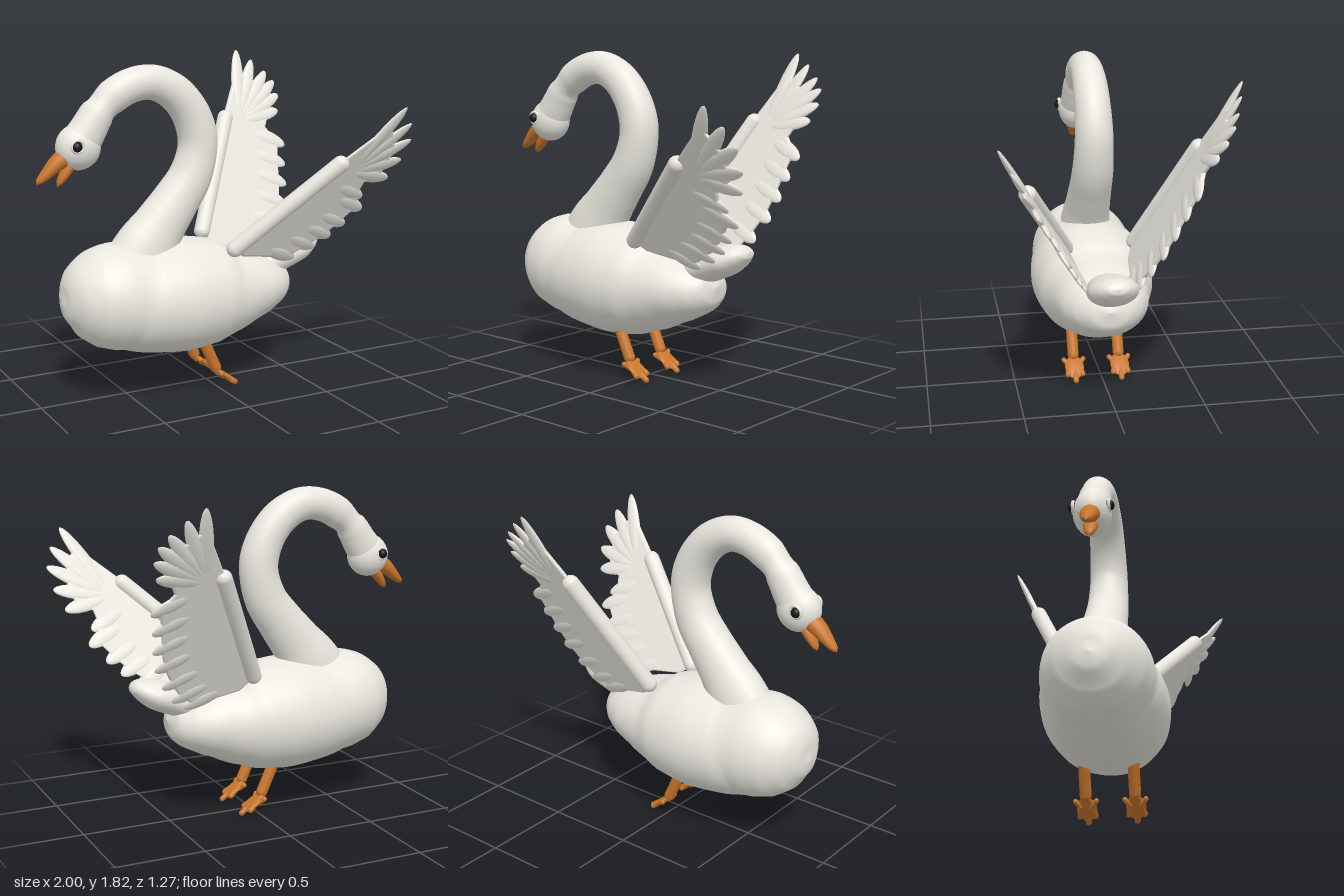
import * as THREE from 'three';

const white = new THREE.MeshStandardMaterial({ color: 0xe9e7df });
const orange = new THREE.MeshStandardMaterial({ color: 0xc8752b });
const black = new THREE.MeshStandardMaterial({ color: 0x15171a });
const MID = 0.025; // the bird's centre line in z

const V = (x, y, z = 0) => new THREE.Vector3(x, y, z);

function mesh(name, geometry, material) {
  const m = new THREE.Mesh(geometry, material);
  m.name = name;
  return m;
}

// Smooth skin over elliptical sections [x, y, radius in plane, radius in z]
function loft(name, sections, material, steps = 60, sides = 32) {
  const path = new THREE.CatmullRomCurve3(sections.map(s => V(s[0], s[1])));
  const size = new THREE.CatmullRomCurve3(sections.map(s => V(s[2], s[3])));
  const pos = [], idx = [];
  for (let i = 0; i <= steps; i++) {
    const c = path.getPoint(i / steps), r = size.getPoint(i / steps), t = path.getTangent(i / steps);
    for (let j = 0; j < sides; j++) {
      const a = j / sides * Math.PI * 2, n = Math.cos(a) * r.x;
      pos.push(c.x - t.y * n, c.y + t.x * n, MID + Math.sin(a) * r.y);
      if (i === steps) continue;
      const k = (j + 1) % sides, p = i * sides, q = p + sides;
      idx.push(p + j, p + k, q + j, p + k, q + k, q + j);
    }
  }
  const g = new THREE.BufferGeometry();
  g.setAttribute('position', new THREE.Float32BufferAttribute(pos, 3));
  g.setIndex(idx);
  g.computeVertexNormals();
  return mesh(name, g, material);
}

function ball(name, p, s, material) {
  const m = mesh(name, new THREE.SphereGeometry(1, 28, 20), material);
  m.position.copy(p);
  m.scale.set(...s);
  return m;
}

// Round-ended rod between two points
function rod(name, a, b, r, material) {
  const d = b.clone().sub(a);
  const m = mesh(name, new THREE.CapsuleGeometry(r, d.length(), 8, 20), material);
  m.position.copy(a).addScaledVector(d, 0.5);
  m.quaternion.setFromUnitVectors(V(0, 1), d.normalize());
  return m;
}

// Wing drawn flat in x and y, then leaned outward: z = z0 + slope * y
function wing(name, w) {
  const group = new THREE.Group();
  group.name = name;
  const lean = new THREE.Matrix4().set(1, 0, 0, 0, 0, 1, 0, 0, 0, w.slope, 1, w.z0, 0, 0, 0, 1);
  const onWing = ([x, y]) => V(x, y, w.z0 + w.slope * y);

  const sheet = (part, pts, curved) => {
    const shape = new THREE.Shape(pts.map(p => new THREE.Vector2(...p)));
    if (curved) shape.closePath();
    const g = new THREE.ExtrudeGeometry(shape, {
      depth: 0.012, bevelSize: 0.012, bevelThickness: 0.008, bevelSegments: 2
    });
    g.translate(0, 0, -0.006);
    group.add(mesh(part, g.applyMatrix4(lean), white));
  };
  const feather = (part, [ax, ay], [bx, by], width) => {
    const g = new THREE.SphereGeometry(1, 20, 12);
    g.scale(Math.hypot(bx - ax, by - ay) / 2, width, 0.02);
    g.rotateZ(Math.atan2(by - ay, bx - ax));
    g.translate((ax + bx) / 2, (ay + by) / 2, 0);
    group.add(mesh(part, g.applyMatrix4(lean), white));
  };

  // Panel: arm line, then the trailing edge just inside the feather tips
  const inset = w.trail.map(([x, y]) => [x - 0.06, y + 0.03]);
  sheet('wingPanel', [w.shoulder, w.root, ...inset, w.wristBack, w.wrist]);
  w.trail.forEach(([x, y]) => feather('trailingFeather', [x - 0.22, y + 0.1], [x, y], 0.042));

  // Hand: a web between the wrist and the fanned feathers
  const palm = w.fan.map(([x, y]) => [
    THREE.MathUtils.lerp(w.hand[0], x, 0.68), THREE.MathUtils.lerp(w.hand[1], y, 0.68)]);
  sheet('handWeb', [w.wrist, w.wristBack, ...palm]);
  w.fan.forEach(p => feather('handFeather', w.hand, p, 0.04));

  group.add(rod('wingArm', onWing(w.shoulder), onWing(w.wrist), 0.046, white));
  return group;
}

function leg(name, z) {
  const group = new THREE.Group();
  group.name = name;
  group.add(rod('shin', V(-0.1, 0.3, z), V(-0.02, 0.125, z), 0.032, orange));
  // Webbed foot sloping down to the toe tips
  const web = ball('web', V(0.035, 0.07, z), [0.075, 0.016, 0.055], orange);
  web.rotation.z = -0.65;
  group.add(web);
  for (const s of [-1, 0, 1]) {
    const reach = s ? 0.07 : 0.105;
    group.add(rod('toe', V(-0.02, 0.11, z + s * 0.012), V(reach, s ? 0.042 : 0.018, z + s * 0.042), 0.016, orange));
    if (s) group.add(rod('sideToe', V(0.01, 0.075, z + s * 0.03), V(-0.01, 0.1, z + s * 0.056), 0.014, orange));
  }
  return group;
}

export function createModel() {
  const bird = new THREE.Group();
  bird.name = 'waterBird';

  // Body with a full chest, belly and narrowing rump
  bird.add(loft('body', [
    [-0.87, 0.57, 0, 0], [-0.855, 0.57, 0.09, 0.09], [-0.8, 0.575, 0.19, 0.19],
    [-0.7, 0.58, 0.262, 0.265], [-0.58, 0.58, 0.293, 0.295], [-0.5, 0.57, 0.293, 0.3],
    [-0.4, 0.552, 0.303, 0.325], [-0.2, 0.545, 0.32, 0.345], [0, 0.54, 0.297, 0.325],
    [0.1, 0.538, 0.257, 0.29], [0.2, 0.545, 0.222, 0.265], [0.3, 0.55, 0.185, 0.24],
    [0.4, 0.56, 0.14, 0.185], [0.47, 0.575, 0.085, 0.11], [0.5, 0.58, 0, 0]
  ], white, 84, 48));
  bird.add(loft('tail', [
    [0.22, 0.6, 0.07, 0.09], [0.42, 0.68, 0.09, 0.125], [0.56, 0.73, 0.083, 0.135],
    [0.65, 0.77, 0.058, 0.1], [0.692, 0.785, 0.03, 0.055], [0.704, 0.79, 0, 0]
  ], white, 36));

  // Curved neck running into the head
  bird.add(loft('neck', [
    [-0.42, 0.74, 0.21, 0.15], [-0.37, 0.84, 0.18, 0.14], [-0.3, 0.94, 0.15, 0.128],
    [-0.2, 1.07, 0.132, 0.12], [-0.11, 1.2, 0.12, 0.115], [-0.065, 1.35, 0.11, 0.108],
    [-0.07, 1.45, 0.109, 0.105], [-0.12, 1.57, 0.104, 0.1], [-0.21, 1.67, 0.099, 0.096],
    [-0.33, 1.725, 0.094, 0.09], [-0.45, 1.717, 0.092, 0.088], [-0.56, 1.665, 0.092, 0.087],
    [-0.65, 1.58, 0.092, 0.087], [-0.71, 1.49, 0.1, 0.09], [-0.76, 1.42, 0.11, 0.092]
  ], white, 90));
  bird.add(ball('head', V(-0.762, 1.412, MID), [0.122, 0.122, 0.102], white));

  // Parted beak
  bird.add(loft('upperBeak', [
    [-0.83, 1.37, 0.05, 0.055], [-0.89, 1.33, 0.042, 0.048], [-0.95, 1.275, 0.028, 0.035],
    [-0.985, 1.245, 0.016, 0.02], [-0.998, 1.232, 0, 0]
  ], orange, 24, 20));
  bird.add(loft('lowerBeak', [
    [-0.8, 1.33, 0.032, 0.042], [-0.845, 1.27, 0.026, 0.035], [-0.872, 1.23, 0.016, 0.022],
    [-0.884, 1.21, 0, 0]
  ], orange, 16, 20));

  for (const s of [-1, 1]) {
    const side = s > 0 ? 'left' : 'right';
    const lid = mesh(side + 'Eyelid', new THREE.TorusGeometry(0.032, 0.009, 10, 28), white);
    lid.position.set(-0.8, 1.43, MID + s * 0.094);
    bird.add(lid, ball(side + 'Eye', V(-0.805, 1.428, MID + s * 0.094), [0.028, 0.028, 0.028], black));
    bird.add(leg(side + 'Leg', MID + s * 0.132));
  }

  // The wings are raised by different amounts
  bird.add(wing('leftWing', {
    slope: 0.545, z0: -0.23, shoulder: [0.07, 0.81], root: [0.14, 0.765],
    wrist: [0.58, 1.28], wristBack: [0.77, 1.16], hand: [0.66, 1.22],
    trail: [[0.49, 0.69], [0.6, 0.75], [0.69, 0.81], [0.76, 0.88], [0.84, 0.97], [0.81, 1.05]],
    fan: [[0.94, 1.16], [0.985, 1.27], [1.0, 1.39], [0.96, 1.49], [0.885, 1.59]]
  }));
  bird.add(wing('rightWing', {
    slope: -0.464, z0: 0.205, shoulder: [0.07, 0.83], root: [0.14, 0.755],
    wrist: [0.37, 1.43], wristBack: [0.61, 1.36], hand: [0.46, 1.41],
    trail: [[0.45, 0.67], [0.53, 0.72], [0.6, 0.81], [0.66, 0.92], [0.69, 1.03], [0.71, 1.14], [0.735, 1.25]],
    fan: [[0.74, 1.45], [0.765, 1.54], [0.755, 1.62], [0.71, 1.68], [0.63, 1.75], [0.54, 1.81]]
  }));
  return bird;
}
